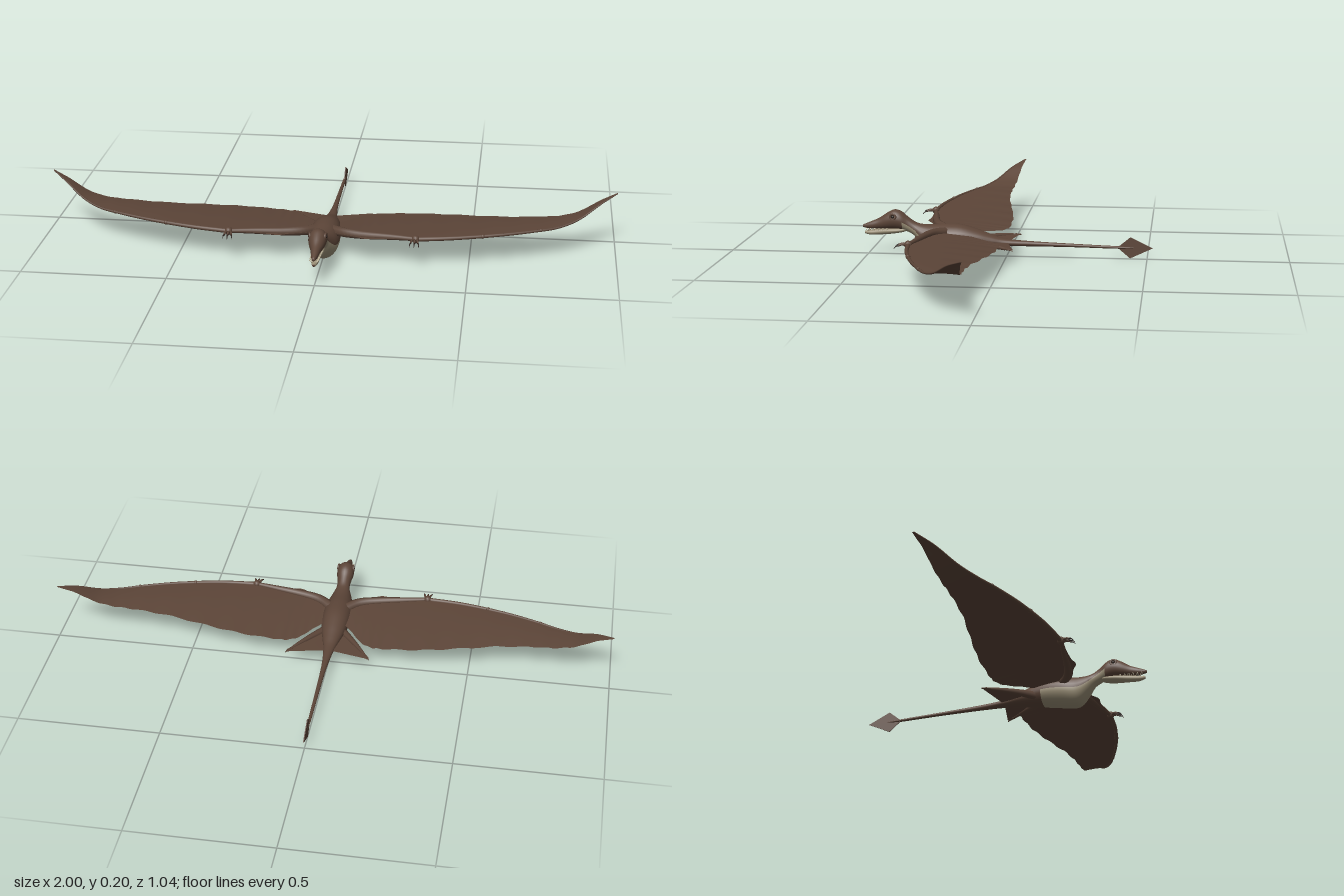
import * as THREE from 'three';

const mat = (name, color) => {
  const m = new THREE.MeshStandardMaterial({ color });
  m.name = name;
  return m;
};

export function createModel() {
  const model = new THREE.Group();
  model.name = 'pterosaur';
  const hide = mat('brownHide', 0x5c4538);
  const belly = mat('paleBelly', 0x9a8f76);
  const claw = mat('darkClaw', 0x2a211c);
  const tooth = mat('ivoryTooth', 0xd6ccb0);

  const add = (name, geo, material, parent = model) => {
    const m = new THREE.Mesh(geo, material);
    m.name = name;
    parent.add(m);
    return m;
  };
  const V = (x, y, z) => new THREE.Vector3(x, y, z);
  const spline = pts => new THREE.CatmullRomCurve3(pts, false, 'catmullrom', 0.5);

  // Elliptical loft along z; rows are [z, top, bottom, half width], front to back.
  function loft(rows, steps, isPale) {
    const N = 24, pos = [], idx = [[], []];
    const a = spline(rows.map(r => V(r[0], r[1], r[2])));
    const b = spline(rows.map(r => V(r[3], 0, 0)));
    const rings = (rows.length - 1) * steps;
    for (let i = 0; i <= rings; i++) {
      const p = a.getPoint(i / rings), w = Math.max(0.001, b.getPoint(i / rings).x);
      for (let j = 0; j < N; j++) {
        const t = j / N * Math.PI * 2;
        pos.push(w * Math.cos(t), (p.y + p.z) / 2 + (p.y - p.z) / 2 * Math.sin(t), p.x);
        if (i === rings) continue;
        const A = i * N + j, B = i * N + (j + 1) % N;
        idx[isPale(p.x, j / N) ? 1 : 0].push(A, A + N, B, B, A + N, B + N);
      }
    }
    for (let j = 1; j < N - 1; j++) {
      idx[0].push(0, j, j + 1);
      idx[0].push(rings * N, rings * N + j + 1, rings * N + j);
    }
    const g = new THREE.BufferGeometry();
    g.setAttribute('position', new THREE.Float32BufferAttribute(pos, 3));
    g.setIndex([...idx[0], ...idx[1]]);
    g.addGroup(0, idx[0].length, 0);
    g.addGroup(idx[0].length, idx[1].length, 1);
    g.computeVertexNormals();
    return g;
  }

  // Grid surface from a rule f(u, v); flip turns it to face the other way.
  function sheet(f, nu, nv, flip) {
    const pos = [], idx = [];
    for (let i = 0; i <= nu; i++) for (let j = 0; j <= nv; j++) {
      pos.push(...f(i / nu, j / nv));
      if (i === nu || j === nv) continue;
      const A = i * (nv + 1) + j, B = A + 1, C = A + nv + 1, D = C + 1;
      if (flip) idx.push(A, C, B, B, C, D);
      else idx.push(A, B, C, B, D, C);
    }
    const g = new THREE.BufferGeometry();
    g.setAttribute('position', new THREE.Float32BufferAttribute(pos, 3));
    g.setIndex(idx);
    g.computeVertexNormals();
    return g;
  }

  // Tube whose radius narrows from r0 to r1.
  function limb(pts, r0, r1, n = 24) {
    const c = spline(pts), R = 8;
    const g = new THREE.TubeGeometry(c, n, 1, R, false), p = g.attributes.position;
    for (let i = 0; i < p.count; i++) {
      const t = Math.floor(i / (R + 1)) / n, o = c.getPointAt(t);
      const q = V(p.getX(i), p.getY(i), p.getZ(i)).sub(o).multiplyScalar(r0 + (r1 - r0) * t).add(o);
      p.setXYZ(i, q.x, q.y, q.z);
    }
    return g;
  }

  // Skull, neck, trunk and tail
  add('body', loft([
    [0.518, 0.108, 0.098, 0.005], [0.49, 0.12, 0.093, 0.012], [0.46, 0.133, 0.094, 0.017],
    [0.43, 0.153, 0.094, 0.026], [0.405, 0.165, 0.094, 0.031], [0.38, 0.159, 0.092, 0.03],
    [0.355, 0.139, 0.085, 0.024], [0.33, 0.122, 0.07, 0.025], [0.31, 0.115, 0.042, 0.034],
    [0.285, 0.113, 0.012, 0.044], [0.26, 0.114, 0.003, 0.051], [0.22, 0.117, 0.009, 0.055],
    [0.16, 0.115, 0.02, 0.051], [0.10, 0.098, 0.029, 0.042], [0.05, 0.08, 0.036, 0.03],
    [0, 0.066, 0.04, 0.019], [-0.1, 0.059, 0.041, 0.01], [-0.25, 0.053, 0.041, 0.007],
    [-0.4, 0.048, 0.039, 0.005], [-0.46, 0.045, 0.042, 0.001],
  ], 4, (z, t) => t >= 0.5 && z < 0.375 && z > 0.145), [hide, belly]);

  // Lower jaw
  add('lowerJaw', loft([
    [0.512, 0.085, 0.076, 0.005], [0.49, 0.089, 0.071, 0.011], [0.45, 0.096, 0.073, 0.015],
    [0.41, 0.1, 0.077, 0.021], [0.375, 0.101, 0.083, 0.02], [0.355, 0.1, 0.09, 0.012],
  ], 3, () => true), [hide, belly]);

  // Diamond tail fin
  const diamond = new THREE.Shape([[0.395, 0.043], [0.44, 0.005], [0.52, 0.043], [0.44, 0.081]]
    .map(p => new THREE.Vector2(...p)));
  const finGeo = new THREE.ExtrudeGeometry(diamond, { depth: 0.003, bevelEnabled: false });
  add('tailFin', finGeo.translate(0, 0, -0.0015), hide).rotation.y = Math.PI / 2;

  // Wing rows: x, leading z, trailing z, leading y, trailing y
  const rows = [
    [0.03, 0.25, 0.135, 0.094, 0.08], [0.07, 0.27, 0.088, 0.095, 0.077], [0.11, 0.285, 0.036, 0.096, 0.073],
    [0.15, 0.305, 0.011, 0.097, 0.073], [0.20, 0.3, 0.006, 0.098, 0.075], [0.32, 0.302, 0.01, 0.103, 0.082],
    [0.45, 0.286, 0.028, 0.107, 0.09], [0.6, 0.25, 0.052, 0.111, 0.1], [0.72, 0.208, 0.058, 0.114, 0.108],
    [0.8, 0.172, 0.056, 0.117, 0.114], [0.87, 0.13, 0.05, 0.134, 0.132], [0.94, 0.08, 0.04, 0.172, 0.171],
    [1.0, 0.031, 0.027, 0.197, 0.197],
  ];
  const lead = spline(rows.map(r => V(r[0], r[3], r[1])));
  const trail = spline(rows.map(r => V(r[0], r[4], r[2])));

  for (const s of [1, -1]) {
    const side = s > 0 ? 'left' : 'right';
    const M = (x, y, z) => V(s * x, y, z);
    const wing = new THREE.Group();
    wing.name = side + 'Wing';
    model.add(wing);

    // Membrane with a faintly scalloped trailing edge
    const membrane = lift => (u, v) => {
      const p = lead.getPoint(u).lerp(trail.getPoint(u), v), fade = Math.sin(Math.PI * u);
      const ripple = 0.0015 * Math.sin(u * 90) * v * v * fade;
      return [s * p.x, p.y + lift + 0.004 * Math.sin(Math.PI * v) * fade + ripple, p.z + ripple];
    };
    add('membraneTop', sheet(membrane(0.001), 96, 12, s > 0), hide, wing);
    add('membraneUnderside', sheet(membrane(-0.001), 96, 12, s < 0), hide, wing);

    // Arm and long wing finger
    add('arm', limb([M(0.025, 0.09, 0.215), M(0.075, 0.096, 0.252), M(0.14, 0.098, 0.272),
      M(0.24, 0.102, 0.288), M(0.32, 0.104, 0.302)], 0.019, 0.007), hide, wing);
    add('wingFinger', limb(rows.slice(5).map(r => M(r[0], r[3], r[1])), 0.008, 0.002, 40), hide, wing);
    for (const [x, y, z, r] of [[0.32, 0.104, 0.302, 0.014], [0.545, 0.11, 0.265, 0.008], [0.74, 0.115, 0.2, 0.006]])
      add('wingJoint', new THREE.SphereGeometry(r, 12, 8), hide, wing).position.set(s * x, y, z);

    // Three splayed clawed fingers
    for (const k of [-1, 0, 1]) {
      const x = 0.318 + k * 0.01, tip = 0.318 + k * 0.015;
      add('finger', limb([M(0.318 + k * 0.004, 0.103, 0.305), M(x, 0.106, 0.322), M(x + k * 0.002, 0.102, 0.334)],
        0.005, 0.003, 6), hide, wing);
      add('fingerClaw', limb([M(x + k * 0.002, 0.102, 0.333), M(tip, 0.1, 0.342), M(tip, 0.092, 0.35)],
        0.003, 0.0005, 6), claw, wing);
    }

    // Hind leg, foot and the web to the tail root
    const leg = new THREE.Group();
    leg.name = side + 'HindLeg';
    model.add(leg);
    add('thighAndShin', limb([M(0.03, 0.055, 0.12), M(0.065, 0.058, 0.075), M(0.1, 0.058, 0.03),
      M(0.13, 0.056, -0.01)], 0.016, 0.005), hide, leg);
    for (const k of [-1, 0, 1])
      add('toe', limb([M(0.128, 0.056, -0.008), M(0.137 + k * 0.005, 0.056, -0.022),
        M(0.147 + k * 0.005, 0.053, -0.036 - k * 0.003)], 0.004, 0.001, 6), hide, leg);
    const web = lift => (u, v) => {
      const a = V(0.035, 0.06, 0.125).lerp(V(0.147, 0.056, -0.036), u);
      const b = V(0.01, 0.055, 0.06).lerp(V(0.012, 0.053, -0.005), Math.min(1, u * 2));
      if (u > 0.5) b.lerp(V(0.145, 0.056, -0.037), u * 2 - 1);
      a.lerp(b, v);
      return [s * a.x, a.y + lift, a.z];
    };
    add('legWebTop', sheet(web(0.001), 16, 5, s > 0), hide, leg);
    add('legWebUnderside', sheet(web(-0.001), 16, 5, s < 0), hide, leg);

    // Eye with its raised brow ring
    const eye = add(side + 'Eye', new THREE.SphereGeometry(0.006, 16, 12), claw);
    eye.position.set(s * 0.027, 0.142, 0.406);
    const ring = add(side + 'EyeRing', new THREE.TorusGeometry(0.01, 0.004, 8, 20), hide);
    ring.position.set(s * 0.027, 0.142, 0.406);
    ring.rotation.y = s * (Math.PI / 2 - 0.15);

    // Interlocking teeth, the front ones splayed most
    for (let i = 0; i < 6; i++) {
      const z = 0.505 - i * 0.015, x = 0.01 + i * 0.0012, splay = 0.8 - i * 0.1;
      const upper = add('upperTooth', new THREE.ConeGeometry(0.0022, 0.016, 6), tooth);
      upper.position.set(s * x, 0.091, z);
      upper.rotation.set(Math.PI - 0.25, 0, s * splay);
      const lower = add('lowerTooth', new THREE.ConeGeometry(0.0022, 0.014, 6), tooth);
      lower.position.set(s * x, 0.092, z - 0.007);
      lower.rotation.set(0.25, 0, -s * splay);
    }
  }
  return model;
}
